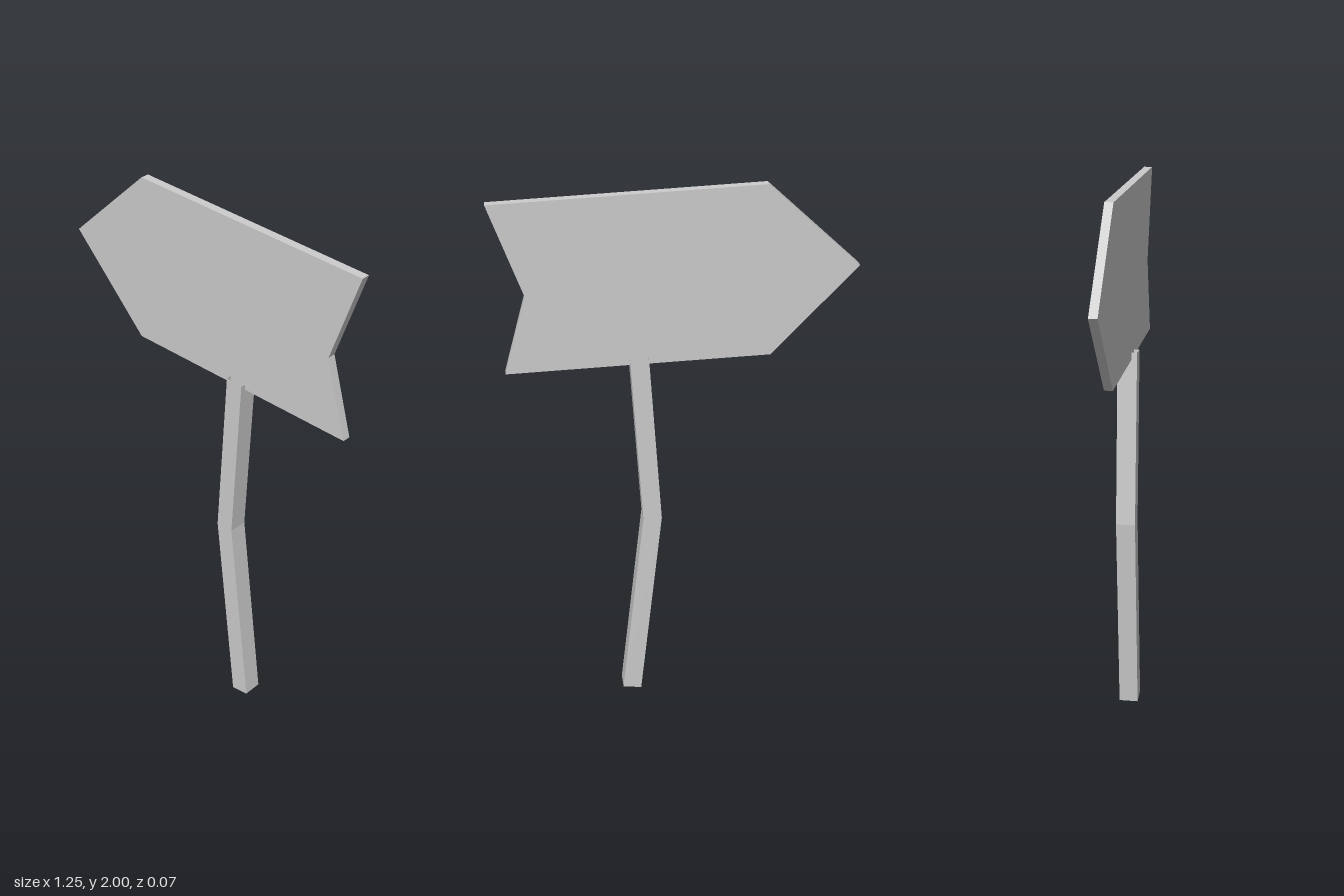
import * as THREE from 'three';

const HALF_POST = 0.035;
const BOARD_THICKNESS = 0.03;

// Open square tube: each section is [leftX, leftY, rightX, rightY]
function squareTube(sections, halfDepth) {
  const rings = sections.map(([lx, ly, rx, ry]) => [
    [lx, ly, halfDepth], [rx, ry, halfDepth],
    [rx, ry, -halfDepth], [lx, ly, -halfDepth],
  ]);
  const positions = [];
  for (let i = 0; i < rings.length - 1; i++) {
    for (let j = 0; j < 4; j++) {
      const k = (j + 1) % 4;
      const a = rings[i][j], b = rings[i][k];
      const c = rings[i + 1][k], d = rings[i + 1][j];
      positions.push(...a, ...b, ...c, ...a, ...c, ...d);
    }
  }
  const geometry = new THREE.BufferGeometry();
  geometry.setAttribute('position', new THREE.Float32BufferAttribute(positions, 3));
  geometry.computeVertexNormals();
  return geometry;
}

export function createModel() {
  const group = new THREE.Group();
  group.name = 'arrowSign';

  const grey = new THREE.MeshStandardMaterial({
    name: 'plainGrey', color: 0xcccccc, flatShading: true, side: THREE.DoubleSide,
  });

  // Arrow board: pointed on one end, notched on the other
  const outline = [
    [-0.627, 1.698], [-0.328, 1.381], [0.586, 1.36],
    [0.508, 1.643], [0.623, 1.97], [-0.307, 2],
  ].map(([x, y]) => new THREE.Vector2(x, y));
  const boardGeometry = new THREE.ExtrudeGeometry(new THREE.Shape(outline), {
    depth: BOARD_THICKNESS, bevelEnabled: false,
  });
  boardGeometry.translate(0, 0, -BOARD_THICKNESS / 2);
  const board = new THREE.Mesh(boardGeometry, grey);
  board.name = 'arrowBoard';
  group.add(board);

  // Crooked post, open at both ends, bottom to top
  const post = new THREE.Mesh(squareTube([
    [0.138, 0, 0.206, 0.01],
    [0.055, 0.758, 0.122, 0.758],
    [0.096, 1.397, 0.161, 1.391],
  ], HALF_POST), grey);
  post.name = 'post';
  group.add(post);

  return group;
}
